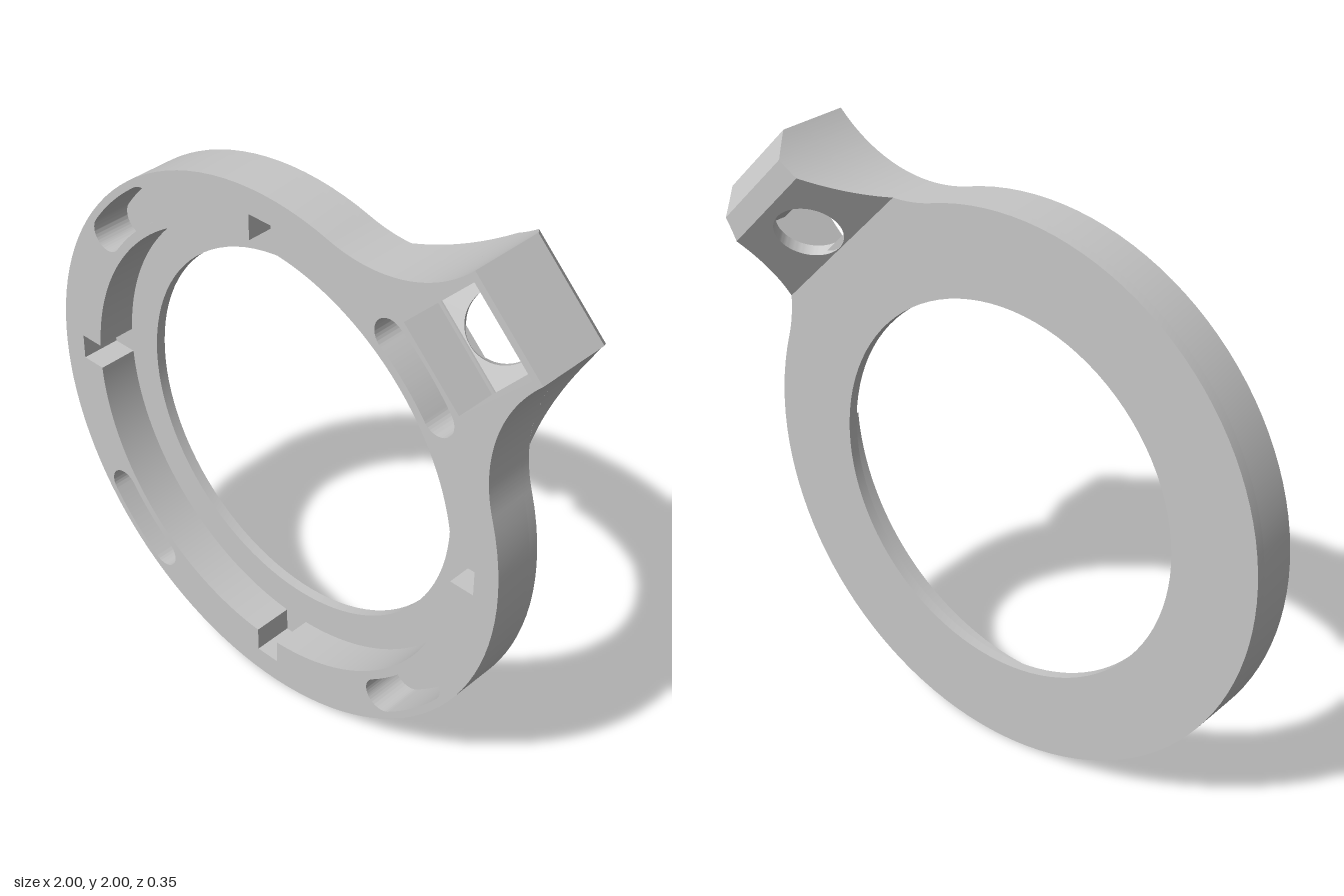
import * as THREE from 'three';
import { toCreasedNormals } from 'three/addons/utils/BufferGeometryUtils.js';

const OUTER = 0.953, BORE = 0.651, FRONT = 0.175, FLOOR = 0.035;
// Lug, measured along its own radial axis (local x)
const TIP = 1.306, HALF = 0.175, SLOPE_START = 0.933, POCKET = 0.15;
// Fillet radius that touches both the ring and the side of the tip
const FILLET = (TIP ** 2 + HALF ** 2 - OUTER ** 2) / (2 * (OUTER - HALF));
const filletY = HALF + FILLET;
const filletAngle = Math.atan2(filletY, TIP);

const sideAt = (x) => filletY - Math.sqrt(FILLET ** 2 - (TIP - x) ** 2);
const backAt = (x) => {
  if (x < 1.14) return -0.175 * (x - SLOPE_START) / (1.14 - SLOPE_START);
  return x < 1.22 ? -0.175 : -0.175 + 0.09 * (x - 1.22) / (TIP - 1.22);
};

// Ring outline blended into the lug by two concave fillets
function outline() {
  const s = new THREE.Shape();
  s.absarc(0, 0, OUTER, filletAngle, Math.PI * 2 - filletAngle, false);
  s.absarc(TIP, -filletY, FILLET, Math.PI - filletAngle, Math.PI / 2, true);
  s.lineTo(TIP, HALF);
  s.absarc(TIP, filletY, FILLET, -Math.PI / 2, -Math.PI + filletAngle, true);
  return s;
}

function circle(r, x = 0, y = 0) {
  const p = new THREE.Path();
  p.absarc(x, y, r, 0, Math.PI * 2, true);
  return p;
}

function polygon(points, Type = THREE.Path) {
  return new Type(points.map(([x, y]) => new THREE.Vector2(x, y)));
}

// Round recess with four square notches
function recess() {
  const p = new THREE.Path(), r = 0.776, deep = 0.863, w = 0.045;
  const half = Math.asin(w / r);
  for (let i = 0; i < 4; i++) {
    const a = Math.PI / 4 + i * Math.PI / 2;
    const c = Math.cos(a), s = Math.sin(a);
    if (i === 0) p.moveTo(r * Math.cos(a - half), r * Math.sin(a - half));
    for (const side of [-w, w]) p.lineTo(c * deep - s * side, s * deep + c * side);
    p.lineTo(r * Math.cos(a + half), r * Math.sin(a + half));
    p.absarc(0, 0, r, a + half, a + Math.PI / 2 - half, false);
  }
  return p;
}

// Curved slot with round ends
function slot(a) {
  const p = new THREE.Path(), r = 0.867, w = 0.06, d = 0.152;
  p.absarc(0, 0, r + w, a - d, a + d, false);
  p.absarc(r * Math.cos(a + d), r * Math.sin(a + d), w, a + d, a + d + Math.PI, false);
  p.absarc(0, 0, r - w, a + d, a - d, true);
  p.absarc(r * Math.cos(a - d), r * Math.sin(a - d), w, a - d + Math.PI, a - d + Math.PI * 2, false);
  return p;
}

function extrude(shape, depth, z = 0) {
  const g = new THREE.ExtrudeGeometry(shape, { depth, bevelEnabled: false, curveSegments: 48 });
  return toCreasedNormals(g.translate(0, 0, z), 0.4);
}

// Solid flank behind the ring, lofted from four-point sections along the lug
function cheekGeometry(side) {
  const xs = [1.14, 1.22];
  for (let i = 0; i <= 24; i++) xs.push(SLOPE_START + (TIP - SLOPE_START) * i / 24);
  xs.sort((a, b) => a - b);
  const pos = [], index = [];
  const quad = (a, b, c, d) => {
    if (side > 0) index.push(a, c, b, a, d, c);
    else index.push(a, b, c, a, c, d);
  };
  xs.forEach((x, i) => {
    const y0 = side * POCKET, y1 = side * sideAt(x), z = backAt(x);
    pos.push(x, y0, 0, x, y1, 0, x, y1, z, x, y0, z);
    if (i === 0) return;
    for (let k = 0; k < 4; k++) {
      const a = (i - 1) * 4 + k, b = (i - 1) * 4 + (k + 1) % 4;
      quad(a, b, b + 4, a + 4);
    }
  });
  const n = (xs.length - 1) * 4;
  quad(n, n + 1, n + 2, n + 3);
  const g = new THREE.BufferGeometry();
  g.setAttribute('position', new THREE.Float32BufferAttribute(pos, 3));
  g.setIndex(index);
  return toCreasedNormals(g, 0.4);
}

export function createModel() {
  const grey = new THREE.MeshStandardMaterial({ color: 0xc6c6c6 });
  grey.name = 'grey';
  const model = new THREE.Group();
  model.name = 'ringMount';
  const body = new THREE.Group();
  body.name = 'ringWithLug';
  body.position.set(-0.047, 0.953, 0);
  body.rotation.z = Math.PI / 4;
  model.add(body);
  const add = (name, geometry) => {
    const mesh = new THREE.Mesh(geometry, grey);
    mesh.name = name;
    body.add(mesh);
    return mesh;
  };
  const pocket = (x) => polygon([[x, -POCKET], [x, POCKET], [1.28, POCKET], [1.28, -POCKET]]);

  // Front layer with recess, slots and lug pocket
  const front = outline();
  front.holes.push(recess(), pocket(0.944));
  for (let i = 0; i < 4; i++) front.holes.push(slot(i * Math.PI / 2));
  add('frontRing', extrude(front, FRONT - FLOOR, FLOOR));

  // Thin back layer with the bore
  const back = outline();
  back.holes.push(circle(BORE), pocket(0.958));
  add('backPlate', extrude(back, FLOOR));

  // Flanks of the lug
  add('leftCheek', cheekGeometry(1));
  add('rightCheek', cheekGeometry(-1));

  // Wedge at the tip, drawn in the radial plane and extruded across the lug
  const wedge = polygon([[1.138, 0.01], [1.14, -0.175], [1.22, -0.175], [TIP, -0.085],
    [TIP, FRONT], [1.28, FRONT]], THREE.Shape);
  add('tipWedge', extrude(wedge, POCKET * 2, -POCKET).rotateX(Math.PI / 2));

  // Slanted plate with a screw hole
  const run = 1.14 - SLOPE_START, length = Math.hypot(run, 0.175);
  const plate = polygon([[0, -POCKET], [length, -POCKET], [length, POCKET], [0, POCKET]], THREE.Shape);
  plate.holes.push(circle(0.113, length * 0.43, 0));
  const mesh = add('screwPlate', extrude(plate, 0.04));
  mesh.position.set(SLOPE_START, 0, 0);
  mesh.rotation.y = Math.atan2(0.175, run);
  return model;
}
